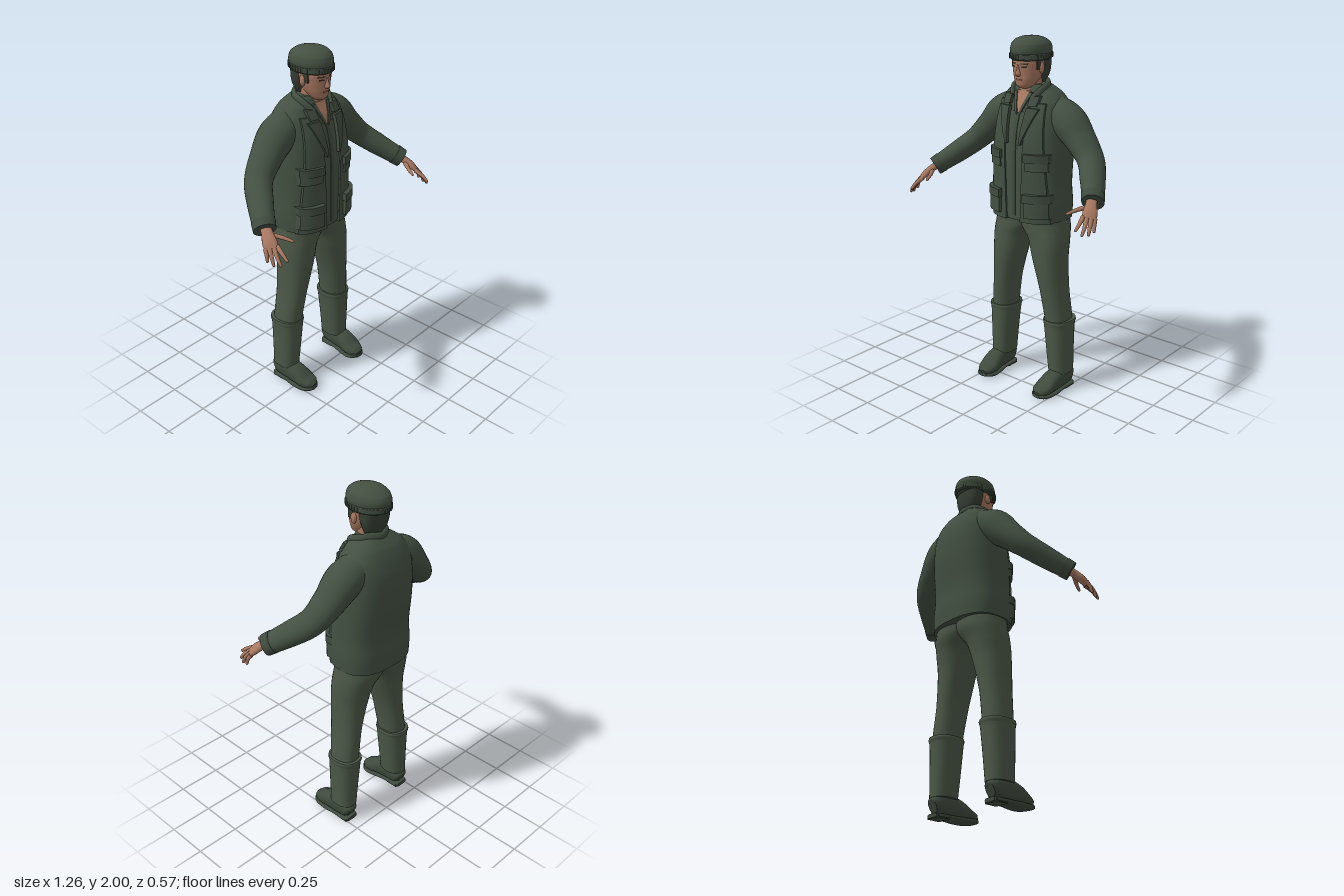
import * as THREE from 'three';

const V = (x, y, z) => new THREE.Vector3(x, y, z);
const paint = (name, color) => {
  const m = new THREE.MeshStandardMaterial({ color });
  m.name = name;
  return m;
};

// Tube through [x, y, z, radiusA, radiusB] points; p < 1 squares the section, level keeps rings horizontal
function limb(pts, { ref = V(0, 0, 1), n = 24, p = 1, level = false, steps = 5 } = {}) {
  const path = new THREE.CatmullRomCurve3(pts.map(q => V(q[0], q[1], q[2])));
  const radii = new THREE.CatmullRomCurve3(pts.map(q => V(q[3], q[4], 0)));
  const rings = (pts.length - 1) * steps, pos = [], idx = [];
  const bend = c => Math.sign(c) * Math.abs(c) ** p;
  for (let i = 0; i <= rings; i++) {
    const c = path.getPoint(i / rings), r = radii.getPoint(i / rings);
    const t = level ? V(0, Math.sign(pts.at(-1)[1] - pts[0][1]), 0) : path.getTangent(i / rings);
    const side = ref.clone().cross(t).normalize(), up = t.clone().cross(side);
    for (let j = 0; j < n; j++) {
      const a = j / n * Math.PI * 2;
      const v = c.clone().addScaledVector(side, Math.max(r.x, 0.001) * bend(Math.cos(a)))
        .addScaledVector(up, Math.max(r.y, 0.001) * bend(Math.sin(a)));
      pos.push(v.x, v.y, v.z);
      if (i < rings) {
        const k = (j + 1) % n, A = i * n + j, B = i * n + k;
        idx.push(A, B, A + n, B, B + n, A + n);
      }
    }
  }
  // End caps on their own vertices keep the rims crisp
  for (const end of [0, 1]) {
    const from = end * rings * n, start = pos.length / 3;
    for (let j = 0; j < n * 3; j++) pos.push(pos[from * 3 + j]);
    const c = path.getPoint(end);
    pos.push(c.x, c.y, c.z);
    for (let j = 0; j < n; j++) {
      const a = start + j, b = start + (j + 1) % n;
      idx.push(start + n, end ? a : b, end ? b : a);
    }
  }
  const g = new THREE.BufferGeometry();
  g.setAttribute('position', new THREE.Float32BufferAttribute(pos, 3));
  g.setIndex(idx);
  g.computeVertexNormals();
  return g;
}

// Level loft from [y, x0, x1, z0, z1] rows
const loft = (rows, o = {}) => limb(rows.map(([y, x0, x1, z0, z1]) =>
  [(x0 + x1) / 2, y, (z0 + z1) / 2, (x1 - x0) / 2, (z1 - z0) / 2]), { level: true, ...o });
const sym = rows => rows.map(([y, w, z0, z1]) => [y, -w, w, z0, z1]);

// Front surface of a symmetric loft, as z at (x, y)
const frontOf = (rows, p) => (x, y) => {
  let i = 0;
  while (i < rows.length - 2 && y > rows[i + 1][0]) i++;
  const k = THREE.MathUtils.clamp((y - rows[i][0]) / (rows[i + 1][0] - rows[i][0]), 0, 1);
  const [w, z0, z1] = [1, 2, 3].map(c => rows[i][c] + (rows[i + 1][c] - rows[i][c]) * k);
  const u = Math.min(Math.abs(x) / w, 0.97);
  return (z0 + z1) / 2 + (z1 - z0) / 2 * (1 - u ** (2 / p)) ** (p / 2);
};

// Plate hugging a surface: bottom x range, top x range, heights, thickness
function plate(surf, [b0, b1], [t0, t1], y0, y1, thick) {
  const g = new THREE.BoxGeometry(1, 1, 1, 8, 10, 1), q = g.attributes.position, L = THREE.MathUtils.lerp;
  for (let i = 0; i < q.count; i++) {
    const u = q.getX(i) + 0.5, v = q.getY(i) + 0.5, w = q.getZ(i) + 0.5;
    const y = L(y0, y1, v), x = L(L(b0, t0, v), L(b1, t1, v), u);
    q.setXYZ(i, x, y, surf(x, y) + L(-0.008, thick, w));
  }
  g.computeVertexNormals();
  return g;
}

function mirrored(g) {
  const m = g.clone().scale(-1, 1, 1), a = m.index.array;
  for (let i = 0; i < a.length; i += 3) [a[i], a[i + 1]] = [a[i + 1], a[i]];
  m.computeVertexNormals();
  return m;
}

export function createModel() {
  const model = new THREE.Group();
  model.name = 'figure';
  const jacket = paint('jacket green', 0x435042), trim = paint('trim green', 0x3f4b3e);
  const shirt = paint('shirt green', 0x465244), cloth = paint('trouser green', 0x4b5747);
  const boot = paint('boot green', 0x3f4a3d), hatMat = paint('hat green', 0x445042);
  const hair = paint('hair', 0x363f34), skin = paint('skin', 0xa87860);
  const dark = paint('eye dark', 0x2e2824), lip = paint('lips', 0x8a5a4b);
  const add = (name, geo, mat) => {
    const m = new THREE.Mesh(geo, mat);
    m.name = name;
    model.add(m);
  };
  const pair = (name, geo, mat) => {
    add('left ' + name, geo, mat);
    add('right ' + name, mirrored(geo), mat);
  };

  // Jacket body
  const body = [[1.015, .225, -.268, .06], [1.1, .228, -.27, .06], [1.21, .222, -.265, .06], [1.395, .22, -.283, .06],
    [1.5, .215, -.285, .05], [1.58, .21, -.275, .03], [1.65, .195, -.25, .005], [1.7, .16, -.222, -.02],
    [1.735, .11, -.19, -.035], [1.75, .085, -.175, -.04]];
  const chest = frontOf(body, 0.77);
  add('jacket body', loft(sym(body), { p: 0.77, n: 48 }), jacket);
  add('shirt front', plate(chest, [-.055, .055], [-.07, .07], 1.03, 1.61, .003), shirt);
  add('shirt placket', plate(chest, [-.012, .012], [-.012, .012], 1.04, 1.6, .007), trim);
  add('open neck', plate(chest, [-.004, .004], [-.045, .045], 1.605, 1.715, .006), skin);
  pair('shirt collar', plate(chest, [.002, .014], [.04, .062], 1.595, 1.71, .011), shirt);
  pair('jacket front', plate(chest, [.048, .205], [.07, .15], 1.012, 1.66, .013), jacket);
  pair('lapel', plate(chest, [.04, .05], [.058, .13], 1.44, 1.635, .024), trim);
  pair('upper lapel', plate(chest, [.06, .112], [.062, .115], 1.645, 1.695, .022), trim);
  add('collar', limb([[-.07, 1.68, -.01, .012, .02], [-.098, 1.725, -.06, .014, .024], [-.085, 1.742, -.125, .014, .026],
    [0, 1.745, -.175, .014, .026], [.085, 1.742, -.125, .014, .026], [.098, 1.725, -.06, .014, .024],
    [.07, 1.68, -.01, .012, .02]], { ref: V(0, 1, 0), n: 14 }), jacket);

  // Pockets with flaps
  for (const [name, y0, y1, x1, t] of [['chest', 1.305, 1.38, .198, .024], ['lower', 1.045, 1.16, .208, .034]]) {
    pair(name + ' pocket', plate(chest, [.085, x1], [.088, x1 - .003], y0, y1, t), jacket);
    pair(name + ' pocket flap', plate(chest, [.08, x1 + .003], [.08, x1 + .003], y1 - .028, y1 + .018, t + .008), trim);
  }

  // Sleeves
  pair('sleeve', limb([[.13, 1.6, -.13, .095, .095], [.22, 1.56, -.125, .098, .102], [.31, 1.475, -.115, .08, .09],
    [.4, 1.385, -.085, .066, .078], [.475, 1.31, 0, .06, .07], [.55, 1.236, .1, .05, .058]], { n: 28 }), jacket);
  pair('sleeve cuff', limb([[.53, 1.256, .073, .056, .064], [.554, 1.232, .106, .053, .061]], { n: 28 }), trim);

  // Hands
  const across = V(-.05, .015, .04);
  pair('palm', limb([[.535, 1.25, .085, .022, .027], [.56, 1.222, .13, .02, .03], [.578, 1.195, .162, .019, .038],
    [.588, 1.17, .188, .013, .036]], { ref: across, n: 16, p: 0.85 }), skin);
  const fingers = [[[.608, 1.17, .163], [.618, 1.142, .18], [.622, 1.11, .187]],
    [[.597, 1.172, .18], [.612, 1.135, .21], [.615, 1.1, .225]],
    [[.58, 1.175, .193], [.597, 1.14, .233], [.6, 1.106, .26]],
    [[.563, 1.18, .2], [.574, 1.155, .247], [.575, 1.13, .28]],
    [[.545, 1.215, .14], [.513, 1.203, .19], [.49, 1.19, .238]]];
  fingers.forEach((f, i) => pair(i < 4 ? 'finger' : 'thumb', limb([[...f[0], .013, .013], [...f[1], .0105, .0105],
    [...f[2], .007, .007], [...f[2].map((c, k) => c + (c - f[1][k]) * .1), .002, .002]],
    { ref: across, n: 10, steps: 3 }), skin));

  // Trousers and gaiters
  pair('trouser leg', loft([[1.04, -.07, .218, -.235, .025], [.97, -.05, .228, -.235, .022], [.9, .01, .234, -.213, .022],
    [.8, .043, .235, -.192, .022], [.6, .1, .243, -.18, .005], [.43, .125, .264, -.182, -.012],
    [.38, .13, .266, -.18, -.015]], { p: 0.9, n: 28 }), cloth);
  pair('gaiter', loft([[.108, .15, .274, -.18, -.025], [.25, .136, .274, -.185, -.016], [.4, .119, .277, -.193, -.009],
    [.42, .115, .281, -.199, -.005], [.432, .117, .279, -.197, -.006]], { p: 0.85, n: 28 }), cloth);

  // Shoes
  const along = { ref: V(0, 1, 0), n: 24 };
  pair('shoe', limb([[.216, .06, -.172, .03, .035], [.216, .068, -.155, .045, .05], [.216, .075, -.08, .05, .062],
    [.214, .067, -.01, .055, .053], [.208, .047, .05, .058, .034], [.203, .039, .09, .046, .025],
    [.2, .034, .113, .02, .012]], { ...along, p: 0.8 }), boot);
  pair('shoe sole', limb([[.216, .013, -.175, .035, .011], [.216, .013, -.15, .05, .012], [.216, .015, -.07, .05, .011],
    [.213, .014, 0, .06, .012], [.207, .014, .055, .062, .012], [.203, .018, .095, .05, .012],
    [.2, .021, .116, .024, .01]], { ...along, p: 0.6 }), trim);
  pair('shoe heel', new THREE.BoxGeometry(.085, .018, .075).translate(.216, .009, -.13), trim);
  for (const [y, z] of [[.113, -.015], [.1, .005], [.088, .022]])
    pair('shoe lace', new THREE.BoxGeometry(.05, .008, .01).translate(.211, y, z), trim);

  // Head and neck
  const face = [[1.73, .03, -.06, .002], [1.745, .048, -.085, .017], [1.78, .068, -.12, .023], [1.82, .08, -.15, .026],
    [1.87, .085, -.165, .03], [1.92, .083, -.165, .02]];
  const facing = frontOf(face, 1);
  add('neck', loft(sym([[1.64, .075, -.16, -.01], [1.72, .06, -.145, -.022], [1.8, .06, -.14, -.03]])), skin);
  add('head', loft(sym(face), { n: 32 }), skin);
  add('nose', loft(sym([[1.796, .01, 0, .034], [1.808, .016, 0, .044], [1.83, .01, 0, .037], [1.858, .007, 0, .031]]),
    { n: 12 }), skin);
  add('mouth', plate(facing, [-.018, .018], [-.022, .022], 1.772, 1.781, .003), lip);
  pair('eye', plate(facing, [.022, .046], [.02, .048], 1.842, 1.85, .002), dark);
  pair('eyebrow', plate(facing, [.014, .052], [.016, .054], 1.859, 1.865, .003), hair);
  pair('ear', new THREE.SphereGeometry(1, 12, 10).scale(.012, .03, .018).translate(.087, 1.838, -.065), skin);

  // Hair behind the ears, with sideburns
  add('hair back', loft(sym([[1.755, .055, -.158, -.09], [1.79, .074, -.17, -.085], [1.83, .086, -.178, -.075],
    [1.91, .09, -.182, -.06]]), { n: 28, p: 0.8 }), hair);
  pair('sideburn', new THREE.BoxGeometry(.008, .07, .03).translate(.084, 1.867, -.042), hair);

  // Knitted hat with ribbed band
  add('hat crown', loft(sym([[1.9, .098, -.208, .042], [1.93, .102, -.212, .044], [1.96, .096, -.2, .036],
    [1.983, .075, -.168, .012], [1.995, .045, -.132, -.025], [2, .008, -.092, -.072]]), { n: 36 }), hatMat);
  add('hat band', loft(sym([[1.878, .096, -.206, .038], [1.886, .102, -.213, .046], [1.908, .103, -.215, .048],
    [1.914, .098, -.208, .042]]), { n: 36 }), trim);
  for (let i = 0; i < 44; i++) {
    const a = i / 44 * Math.PI * 2;
    add('hat rib', new THREE.BoxGeometry(.007, .024, .006).rotateY(a)
      .translate(.102 * Math.sin(a), 1.897, -.083 + .13 * Math.cos(a)), hatMat);
  }
  return model;
}
